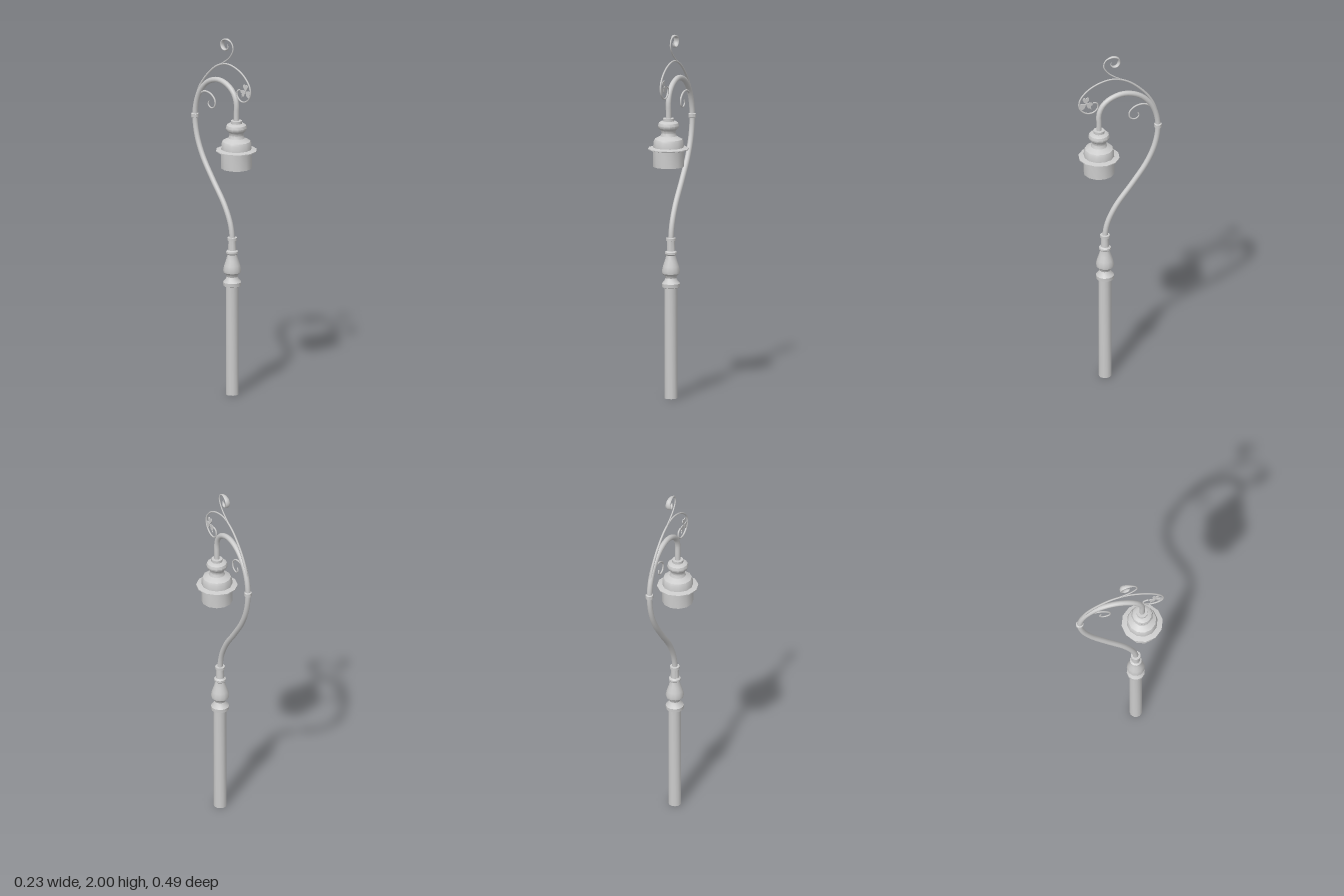
import * as THREE from 'three';
import { toCreasedNormals } from 'three/addons/utils/BufferGeometryUtils.js';

const material = new THREE.MeshStandardMaterial({ color: 0xcccccc, side: THREE.DoubleSide });

function addMesh(parent, name, geometry) {
  const mesh = new THREE.Mesh(geometry, material);
  mesh.name = name;
  parent.add(mesh);
  return mesh;
}

// Turned part from [radius, height] pairs, standing at depth z
function turned(parent, name, profile, z) {
  const geo = new THREE.LatheGeometry(profile.map(([r, y]) => new THREE.Vector2(r, y)), 12);
  const mesh = addMesh(parent, name, toCreasedNormals(geo, 0.65));
  mesh.position.z = z;
  return mesh;
}

// Rod swept along [z, y] points in the x = 0 plane.
// size(t) returns [half thickness in the plane, half width across it].
function sweep(parent, name, points, steps, sides, size) {
  const curve = new THREE.CatmullRomCurve3(points.map(([z, y]) => new THREE.Vector3(0, y, z)));
  const across = new THREE.Vector3(1, 0, 0);
  const positions = [], index = [];
  for (let i = 0; i <= steps; i++) {
    const t = i / steps;
    const p = curve.getPointAt(t);
    const n = across.clone().cross(curve.getTangentAt(t)).normalize();
    const [thick, wide] = size(t);
    for (let j = 0; j < sides; j++) {
      const a = (j / sides) * Math.PI * 2;
      const v = p.clone().addScaledVector(n, Math.cos(a) * thick).addScaledVector(across, Math.sin(a) * wide);
      positions.push(v.x, v.y, v.z);
      if (i < steps) {
        const k = (j + 1) % sides;
        const A = i * sides + j, B = i * sides + k;
        index.push(A, B, A + sides, B, B + sides, A + sides);
      }
    }
  }
  const geo = new THREE.BufferGeometry();
  geo.setAttribute('position', new THREE.Float32BufferAttribute(positions, 3));
  geo.setIndex(index);
  geo.computeVertexNormals();
  return addMesh(parent, name, geo);
}

// Three heart-shaped leaves and a stem, flat in the x = 0 plane
function clover(parent, y, z) {
  const group = new THREE.Group();
  group.name = 'clover';
  const leaf = new THREE.Shape();
  leaf.moveTo(0, 0);
  leaf.bezierCurveTo(0.008, 0.01, 0.022, 0.02, 0.018, 0.032);
  leaf.bezierCurveTo(0.014, 0.042, 0.003, 0.04, 0, 0.032);
  leaf.bezierCurveTo(-0.003, 0.04, -0.014, 0.042, -0.018, 0.032);
  leaf.bezierCurveTo(-0.022, 0.02, -0.008, 0.01, 0, 0);
  const geo = new THREE.ExtrudeGeometry(leaf, { depth: 0.004, bevelEnabled: false, curveSegments: 5 });
  geo.translate(0, 0, -0.002);
  for (let i = 0; i < 3; i++) {
    addMesh(group, 'cloverLeaf', geo).rotation.z = (i * Math.PI * 2) / 3;
  }
  const stem = addMesh(group, 'cloverStem', new THREE.CylinderGeometry(0.002, 0.003, 0.05, 6));
  stem.position.set(0.016, -0.02, 0);
  stem.rotation.z = 0.68;
  group.position.set(0, y, z);
  group.rotation.y = Math.PI / 2;
  parent.add(group);
}

export function createModel() {
  const model = new THREE.Group();
  model.name = 'streetLamp';
  const postZ = 0.087, lampZ = 0.122;

  // Post with its turned collars
  turned(model, 'post', [[0.035, 0], [0.035, 0.61]], postZ);
  turned(model, 'postFinial', [
    [0.035, 0.61], [0.049, 0.615], [0.05, 0.635], [0.036, 0.652], [0.03, 0.665], [0.034, 0.678],
    [0.048, 0.69], [0.05, 0.705], [0.044, 0.73], [0.034, 0.76], [0.026, 0.79],
    [0.033, 0.797], [0.033, 0.808], [0.023, 0.815], [0.021, 0.868],
    [0.027, 0.87], [0.027, 0.885], [0, 0.888],
  ], postZ);

  // Swan-neck arm
  sweep(model, 'arm', [
    [0.087, 0.87], [0.084, 0.91], [0.068, 0.97], [0.02, 1.06], [-0.075, 1.18], [-0.158, 1.295],
    [-0.205, 1.4], [-0.222, 1.51], [-0.207, 1.6], [-0.17, 1.67], [-0.105, 1.728], [-0.02, 1.752],
    [0.055, 1.735], [0.1, 1.7], [0.122, 1.65], [0.122, 1.6], [0.122, 1.545],
  ], 60, 10, () => [0.015, 0.015]);
  turned(model, 'armRing', [
    [0.014, 1.496], [0.021, 1.5], [0.021, 1.52], [0.014, 1.524],
  ], -0.222);

  // Lamp housing
  turned(model, 'lampHead', [
    [0, 1.287], [0.085, 1.287], [0.085, 1.376], [0.113, 1.383], [0.113, 1.388], [0.084, 1.394],
    [0.083, 1.425], [0.077, 1.438], [0.06, 1.447], [0.045, 1.455], [0.038, 1.472], [0.042, 1.487],
    [0.055, 1.5], [0.059, 1.513], [0.054, 1.528], [0.04, 1.537],
    [0.031, 1.538], [0.031, 1.553], [0, 1.555],
  ], lampZ);

  // Long scroll curling round the clover
  sweep(model, 'mainScroll', [
    [-0.222, 1.53], [-0.208, 1.62], [-0.178, 1.69], [-0.118, 1.765], [-0.04, 1.828], [0.04, 1.855],
    [0.12, 1.846], [0.19, 1.812], [0.234, 1.76], [0.234, 1.71], [0.2, 1.675], [0.158, 1.67],
    [0.129, 1.695], [0.134, 1.725], [0.155, 1.733],
  ], 80, 6, t => {
    const r = 0.0085 - 0.0035 * Math.min(1, t * 2);
    return [r, r];
  });
  clover(model, 1.733, 0.198);

  // Upper scroll ending in a broad leaf
  sweep(model, 'topScroll', [
    [-0.04, 1.828], [0.02, 1.862], [0.068, 1.9], [0.094, 1.945], [0.083, 1.98], [0.045, 1.995],
    [0.012, 1.983], [0.004, 1.957], [0.018, 1.936], [0.042, 1.935], [0.054, 1.955], [0.045, 1.966],
  ], 56, 6, t => {
    const swell = Math.max(0, Math.sin(Math.PI * Math.min(1, Math.max(0, (t - 0.55) / 0.45))));
    const tip = Math.min(1, (1 - t) * 10 + 0.1);
    return [(0.004 + 0.002 * swell) * tip, (0.004 + 0.011 * swell) * tip];
  });

  // Small scroll under the arm
  sweep(model, 'innerScroll', [
    [-0.215, 1.56], [-0.2, 1.61], [-0.178, 1.643], [-0.138, 1.663], [-0.088, 1.657], [-0.056, 1.628],
    [-0.06, 1.592], [-0.09, 1.58], [-0.111, 1.596], [-0.106, 1.615],
  ], 48, 6, t => [0.007 - 0.003 * t, 0.007 - 0.003 * t]);

  return model;
}
